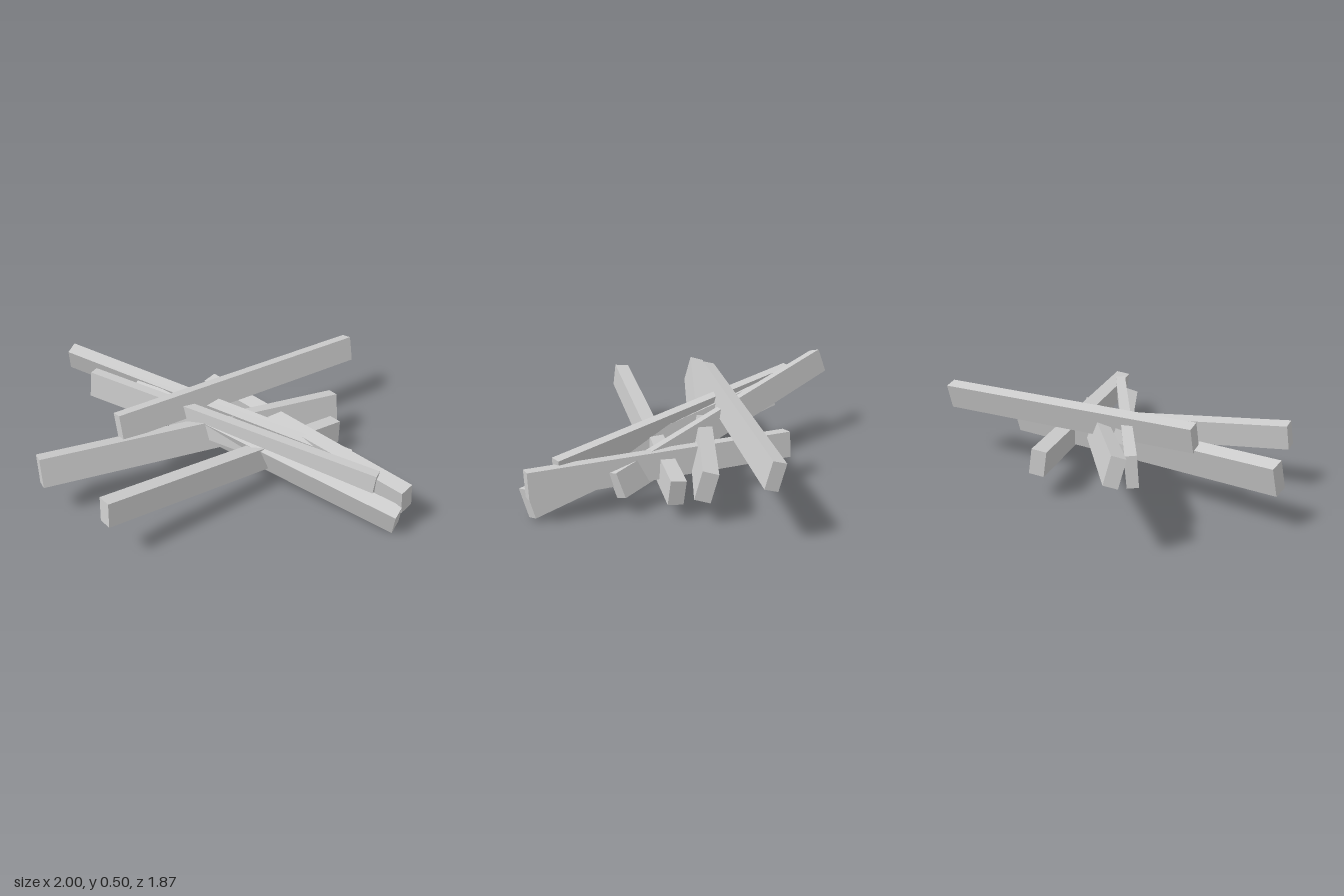
import * as THREE from 'three';

// One squared beam between two end centres, rolled about its own length
function beam(name, from, to, width, height, rollDegrees, material) {
  const a = new THREE.Vector3(...from);
  const b = new THREE.Vector3(...to);
  const along = b.clone().sub(a);
  const length = along.length();
  along.normalize();
  const side = along.clone().cross(new THREE.Vector3(0, 1, 0)).normalize();
  const up = side.clone().cross(along);
  const roll = THREE.MathUtils.degToRad(rollDegrees);
  up.multiplyScalar(Math.cos(roll)).addScaledVector(side, Math.sin(roll));
  side.crossVectors(along, up);

  const mesh = new THREE.Mesh(new THREE.BoxGeometry(length, height, width), material);
  mesh.name = name;
  mesh.quaternion.setFromRotationMatrix(new THREE.Matrix4().makeBasis(along, up, side));
  mesh.position.copy(a).add(b).multiplyScalar(0.5);
  return mesh;
}

export function createModel() {
  const model = new THREE.Group();
  model.name = 'beamPile';
  const wood = new THREE.MeshStandardMaterial({ color: 0xcccccc, flatShading: true });

  // name, end centre, other end centre, width, height, roll
  const beams = [
    // beams running front to back
    ['topBeam', [-0.40, 0.383, 0.433], [0.203, 0.363, -0.92], 0.066, 0.137, -15],
    ['thickBeam', [-0.593, 0.275, 0.826], [0.313, 0.207, -0.562], 0.08, 0.152, -15],
    ['frontBeam', [-0.106, 0.307, 0.91], [0.392, 0.151, -0.434], 0.078, 0.128, -6],
    // beams running left to right
    ['backBeam', [-0.366, 0.205, -0.342], [0.988, 0.207, -0.055], 0.08, 0.135, 8],
    ['lowBeam', [-0.57, 0.33, 0.07], [0.97, 0.092, -0.013], 0.078, 0.15, 17],
    ['thinBeam', [-0.795, 0.363, 0.166], [0.823, 0.222, -0.042], 0.055, 0.15, -4],
    ['raisedBeam', [-0.985, 0.44, 0.11], [0.592, 0.16, -0.212], 0.068, 0.133, 17],
  ];
  for (const spec of beams) model.add(beam(...spec, wood));
  return model;
}
